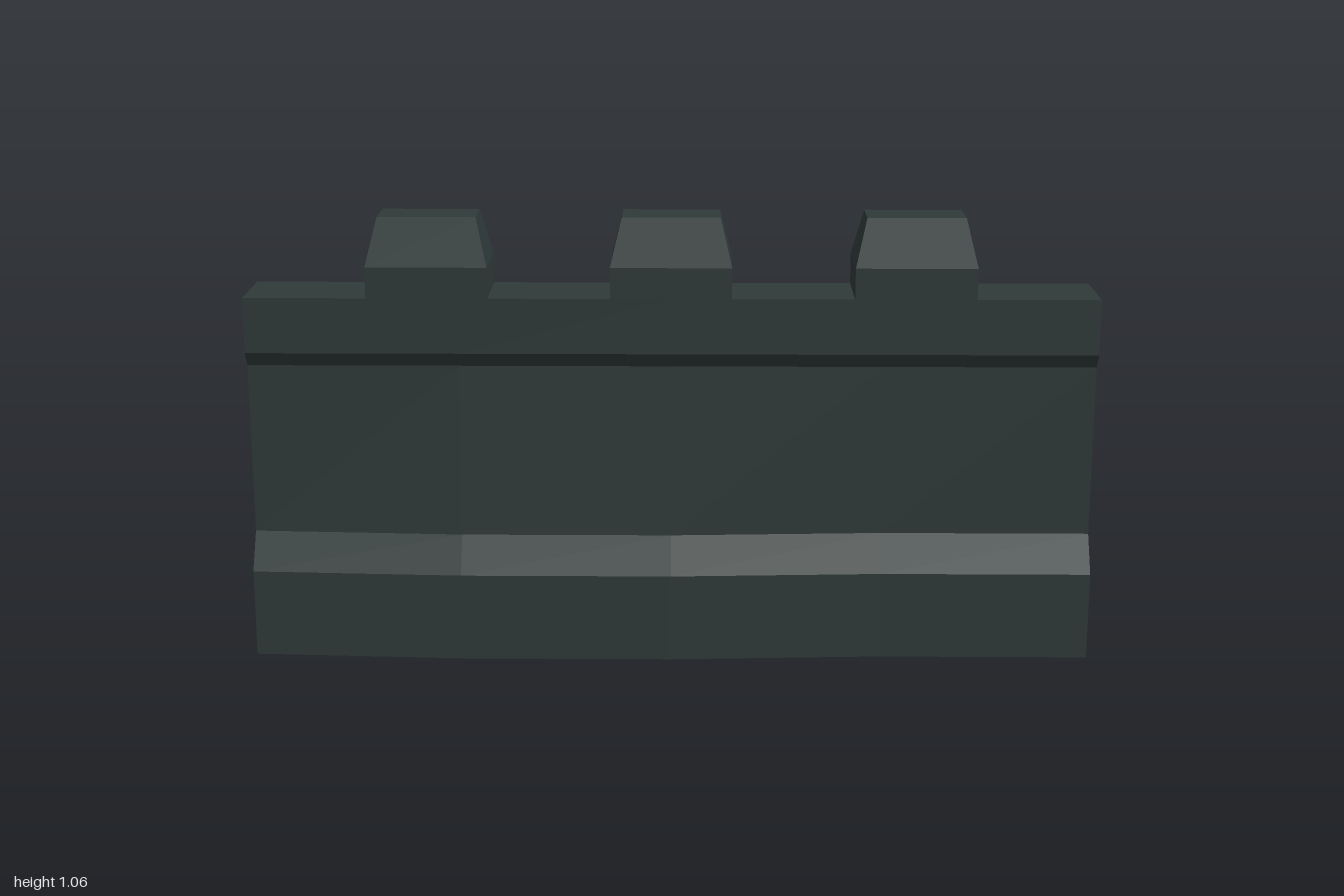
import * as THREE from 'three';

const stone = new THREE.MeshStandardMaterial({ color: 0x2f3a39, flatShading: true, side: THREE.DoubleSide });
stone.name = 'dark stone';

// Wall profile from foot to parapet: height, half depth, share of the bulge
const profile = [
  [0, 0.125, 1], [0.21, 0.125, 1], [0.295, 0.07, 1],
  [0.705, 0.07, 0], [0.74, 0.095, 0], [0.872, 0.095, 0],
];
const columns = [-1, -0.5, 0, 0.5, 1];
const TOP = 0.872;

function add(group, name, geometry) {
  geometry.computeVertexNormals();
  const mesh = new THREE.Mesh(geometry, stone);
  mesh.name = name;
  group.add(mesh);
  return mesh;
}

// One long open face of the wall; side is 1 for front, -1 for back
function wallFace(side, bulge) {
  const positions = [], index = [];
  const n = columns.length;
  profile.forEach(([y, z, share], j) => {
    columns.forEach((x, i) => {
      positions.push(x, y, side * (z + 0.025 * share * bulge[i]));
      if (j === 0 || i === 0) return;
      const d = j * n + i, c = d - 1, b = d - n, a = b - 1;
      if (side > 0) index.push(a, b, d, a, d, c);
      else index.push(a, d, b, a, c, d);
    });
  });
  const g = new THREE.BufferGeometry();
  g.setAttribute('position', new THREE.Float32BufferAttribute(positions, 3));
  g.setIndex(index);
  return g;
}

// Merlon block: straight base with tapered upper half
function merlonGeometry() {
  const g = new THREE.BoxGeometry(1, 1, 1, 1, 2, 1);
  const p = g.attributes.position;
  for (let i = 0; i < p.count; i++) {
    const level = Math.round(p.getY(i) * 2) + 1;
    const top = level === 2;
    p.setXYZ(i,
      Math.sign(p.getX(i)) * (top ? 0.115 : 0.142),
      [TOP, 0.945, 1.057][level],
      Math.sign(p.getZ(i)) * (top ? 0.055 : 0.095));
  }
  return g;
}

export function createModel() {
  const model = new THREE.Group();
  model.name = 'battlementWall';

  // Hollow wall, open at both ends and underneath
  add(model, 'frontWall', wallFace(1, [0, 1, 1, 0, 0]));
  add(model, 'backWall', wallFace(-1, [0, 0.85, 0.85, 1, 0]));
  add(model, 'wallTop', new THREE.PlaneGeometry(2, 0.19).rotateX(-Math.PI / 2).translate(0, TOP, 0));

  // Three merlons along the top
  for (const x of [-0.57, 0, 0.57]) {
    add(model, 'merlon', merlonGeometry()).position.x = x;
  }
  return model;
}
